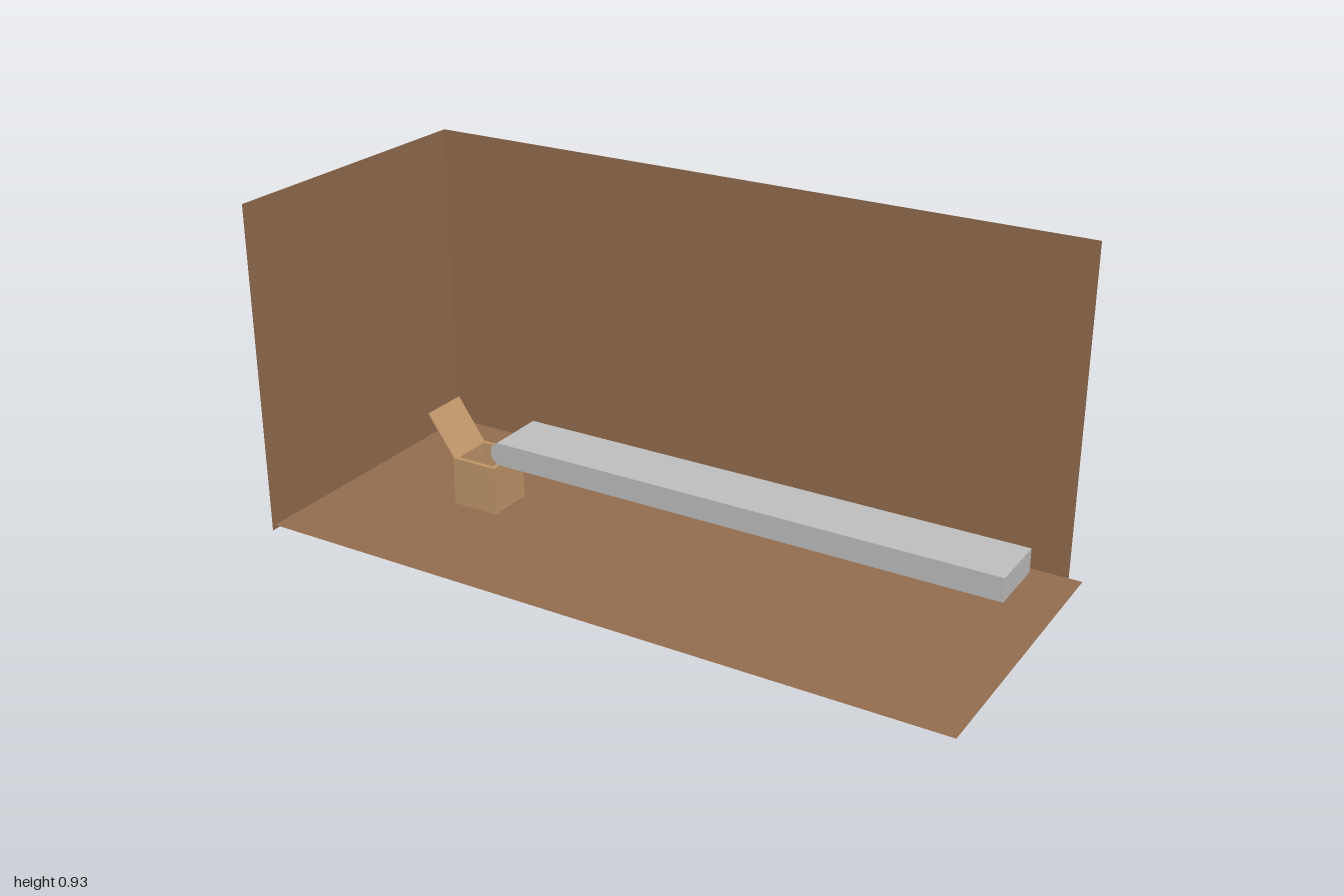
import * as THREE from 'three';

export function createModel() {
  const group = new THREE.Group();
  const material = (name, color) => {
    const m = new THREE.MeshStandardMaterial({ color, side: THREE.DoubleSide });
    m.name = name;
    return m;
  };
  const brown = material('brown panel', 0x946d4f);
  const tan = material('cardboard tan', 0xc2976a);
  const grey = material('belt grey', 0xc0c0c0);

  const add = (name, geometry, mat, x = 0, y = 0, z = 0, parent = group) => {
    const mesh = new THREE.Mesh(geometry, mat);
    mesh.name = name;
    mesh.position.set(x, y, z);
    parent.add(mesh);
    return mesh;
  };

  // Room: thin floor sheet and two upright sheets
  const floor = add('floor', new THREE.PlaneGeometry(2, 0.83), brown, 0, 0.013, -0.005);
  floor.rotation.x = -Math.PI / 2;
  add('backWall', new THREE.PlaneGeometry(1.963, 0.93), brown, -0.0185, 0.465, -0.42);
  const side = add('sideWall', new THREE.PlaneGeometry(0.84, 0.93), brown, -1, 0.465, 0);
  side.rotation.y = Math.PI / 2;

  // Conveyor: long slab with a bevelled nose at the box end
  const slab = new THREE.Shape([
    [-0.51, 0.2], [-0.49, 0.181], [0.963, 0.181], [0.963, 0.246], [-0.49, 0.246], [-0.51, 0.23],
  ].map(([x, y]) => new THREE.Vector2(x, y)));
  add('conveyor', new THREE.ExtrudeGeometry(slab, { depth: 0.172, bevelEnabled: false }), grey, 0, 0, -0.102);

  // Open box: square tube with a thin rim
  const box = new THREE.Group();
  box.name = 'openBox';
  box.position.set(-0.585, 0.015, -0.016);
  group.add(box);
  const square = (h) => [[-h, -h], [h, -h], [h, h], [-h, h]].map(([x, y]) => new THREE.Vector2(x, y));
  const rim = new THREE.Shape(square(0.069));
  rim.holes.push(new THREE.Path(square(0.057)));
  const walls = new THREE.ExtrudeGeometry(rim, { depth: 0.14, bevelEnabled: false });
  walls.rotateX(-Math.PI / 2);
  add('boxWalls', walls, tan, 0, 0, 0, box);

  // Lid hinged on the far edge, leaning outward
  const lidGeometry = new THREE.BoxGeometry(0.004, 0.142, 0.138);
  lidGeometry.translate(0, 0.071, 0);
  const lid = add('boxLid', lidGeometry, tan, -0.067, 0.14, 0, box);
  lid.rotation.z = Math.atan2(0.08, 0.115);

  return group;
}
